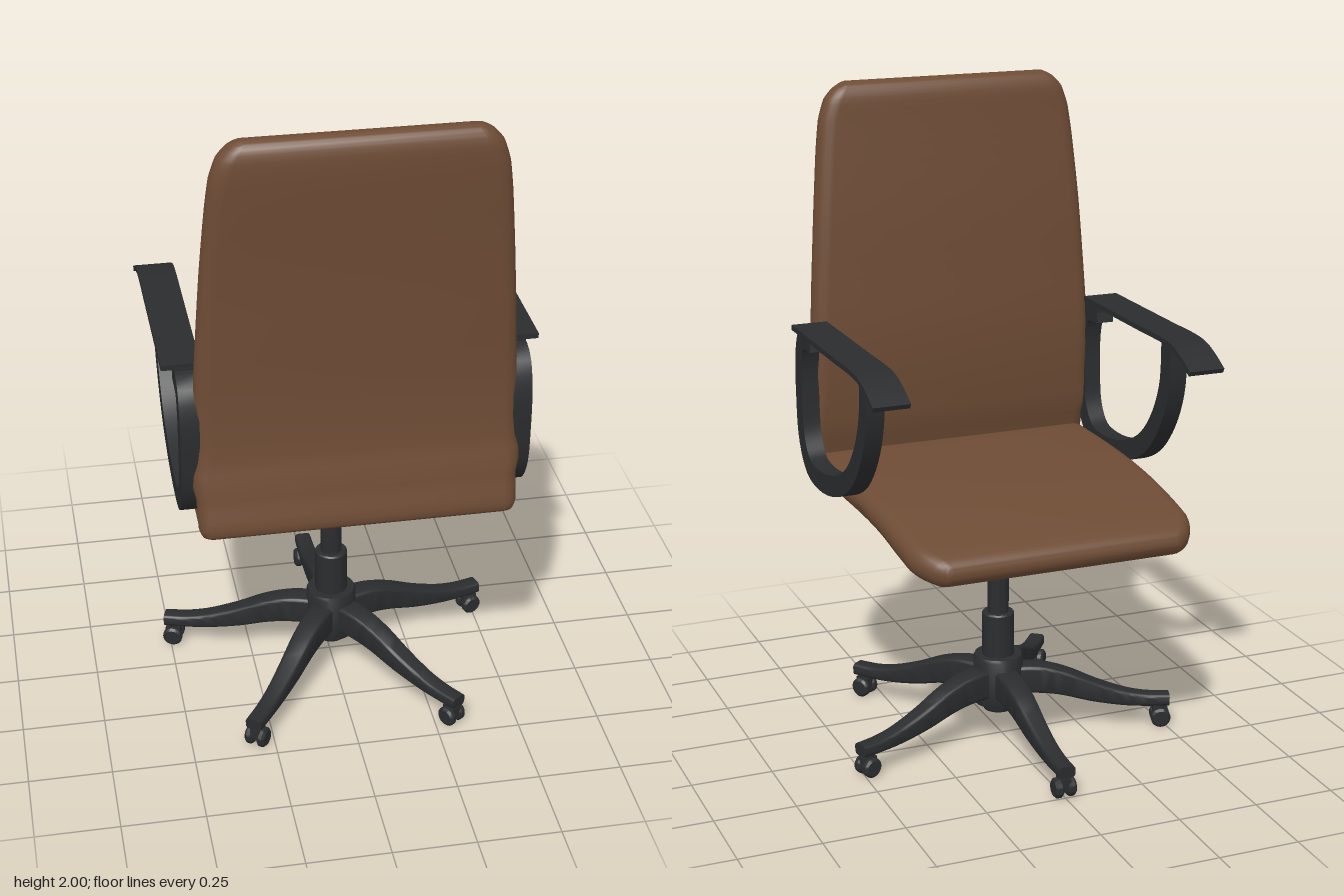
import * as THREE from 'three';
import { toCreasedNormals } from 'three/addons/utils/BufferGeometryUtils.js';

const leather = new THREE.MeshStandardMaterial({ color: 0x6e4c35 });
leather.name = 'brownLeather';
const plastic = new THREE.MeshStandardMaterial({ color: 0x2b2c2e });
plastic.name = 'blackPlastic';

function add(parent, name, geometry, material, x = 0, y = 0, z = 0) {
  const mesh = new THREE.Mesh(geometry, material);
  mesh.name = name;
  mesh.position.set(x, y, z);
  parent.add(mesh);
  return mesh;
}

// Rounded-rectangle sections swept in the YZ plane.
// Each row is [z, y, half width, half thickness].
function loft(rows, radius, steps, crease) {
  const path = new THREE.CatmullRomCurve3(rows.map(r => new THREE.Vector3(0, r[1], r[0])));
  const size = new THREE.CatmullRomCurve3(rows.map(r => new THREE.Vector3(r[2], r[3], 0)));
  const n = (rows.length - 1) * steps, k = 5, ring = 4 * (k + 1);
  const pos = [], index = [];
  for (let i = 0; i <= n; i++) {
    const c = path.getPoint(i / n), s = size.getPoint(i / n);
    const t = path.getTangent(i / n);
    const r = Math.min(radius, s.x, s.y);
    for (let q = 0; q < 4; q++) for (let j = 0; j <= k; j++) {
      const a = (q + j / k) * Math.PI / 2;
      const sx = q === 0 || q === 3 ? 1 : -1, sv = q < 2 ? 1 : -1;
      const u = sx * (s.x - r) + r * Math.cos(a);
      const v = sv * (s.y - r) + r * Math.sin(a);
      pos.push(u, c.y + v * t.z, c.z - v * t.y);
    }
  }
  for (let i = 0; i < n; i++) for (let j = 0; j < ring; j++) {
    const a = i * ring + j, b = i * ring + (j + 1) % ring;
    index.push(a, b, b + ring, a, b + ring, a + ring);
  }
  for (let j = 1; j < ring - 1; j++) {
    const e = n * ring;
    index.push(0, j + 1, j, e, e + j, e + j + 1);
  }
  const g = new THREE.BufferGeometry();
  g.setAttribute('position', new THREE.Float32BufferAttribute(pos, 3));
  g.setIndex(index);
  g.computeVertexNormals();
  return toCreasedNormals(g, crease);
}

// Flat band of constant width following a curve in the (z, y) plane
function band(points, half, width) {
  const curve = new THREE.CatmullRomCurve3(points.map(p => new THREE.Vector3(p[0], p[1], 0)));
  const n = 48, outer = [], inner = [];
  for (let i = 0; i <= n; i++) {
    const p = curve.getPoint(i / n), t = curve.getTangent(i / n);
    outer.push(new THREE.Vector2(p.x - t.y * half, p.y + t.x * half));
    inner.unshift(new THREE.Vector2(p.x + t.y * half, p.y - t.x * half));
  }
  const g = new THREE.ExtrudeGeometry(new THREE.Shape([...outer, ...inner]), { depth: width, bevelEnabled: false });
  g.translate(0, 0, -width / 2);
  g.rotateY(-Math.PI / 2); // shape x becomes z
  return toCreasedNormals(g, 0.6);
}

function lathe(profile) {
  return toCreasedNormals(new THREE.LatheGeometry(profile.map(p => new THREE.Vector2(p[0], p[1])), 28), 0.6);
}

export function createModel() {
  const chair = new THREE.Group();
  chair.name = 'officeChair';
  const cz = 0.028; // column axis

  // Cushions
  add(chair, 'seat', loft([
    [0.437, 0.811, 0.43, 0.012], [0.43, 0.811, 0.448, 0.03], [0.405, 0.811, 0.46, 0.042],
    [0.2, 0.811, 0.46, 0.043], [0, 0.809, 0.455, 0.044], [-0.15, 0.799, 0.45, 0.046],
    [-0.28, 0.78, 0.447, 0.047], [-0.38, 0.763, 0.442, 0.047], [-0.43, 0.754, 0.425, 0.046],
    [-0.47, 0.745, 0.4, 0.041], [-0.49, 0.74, 0.375, 0.028], [-0.498, 0.738, 0.36, 0.012],
  ], 0.045, 3, 0.9), leather);
  add(chair, 'backrest', loft([
    [0.475, 0.78, 0.435, 0.014], [0.473, 0.788, 0.452, 0.032], [0.468, 0.815, 0.463, 0.042],
    [0.448, 0.9, 0.465, 0.044], [0.428, 1.02, 0.465, 0.044], [0.42, 1.2, 0.463, 0.045],
    [0.428, 1.4, 0.452, 0.045], [0.438, 1.6, 0.438, 0.045], [0.454, 1.8, 0.42, 0.045],
    [0.461, 1.89, 0.408, 0.045], [0.464, 1.95, 0.388, 0.044], [0.466, 1.98, 0.362, 0.036],
    [0.467, 1.994, 0.34, 0.024], [0.467, 2, 0.325, 0.01],
  ], 0.045, 3, 0.9), leather);

  // Armrests, mirrored
  const loop = band([
    [-0.196, 1.278], [-0.188, 1.133], [-0.14, 1.02], [-0.05, 0.918], [0.077, 0.854], [0.236, 0.825],
    [0.347, 0.841], [0.406, 0.915], [0.422, 1.043], [0.419, 1.16], [0.39, 1.228], [0.3, 1.244],
  ], 0.032, 0.055);
  const pad = band([
    [0.357, 1.281], [0.15, 1.281], [-0.05, 1.281], [-0.22, 1.281], [-0.28, 1.273], [-0.34, 1.25], [-0.39, 1.224],
  ], 0.008, 0.112);
  for (const [side, label] of [[1, 'left'], [-1, 'right']]) {
    add(chair, label + 'ArmLoop', loop, plastic, side * 0.477);
    add(chair, label + 'ArmPad', pad, plastic, side * 0.486);
    add(chair, label + 'ArmBracket', new THREE.BoxGeometry(0.055, 0.065, 0.06), plastic, side * 0.477, 1.244, 0.33);
  }

  // Chamfered plate under the seat
  const w = 0.155, d = 0.135, c = 0.05;
  const plate = new THREE.Shape([[-w, -d + c], [-w + c, -d], [w - c, -d], [w, -d + c],
    [w, d - c], [w - c, d], [-w + c, d], [-w, d - c]].map(p => new THREE.Vector2(p[0], p[1])));
  const plateGeo = new THREE.ExtrudeGeometry(plate, {
    depth: 0.05, bevelThickness: 0.01, bevelSize: 0.012, bevelOffset: -0.012, bevelSegments: 1,
  });
  plateGeo.rotateX(-Math.PI / 2);
  add(chair, 'seatPlate', plateGeo, plastic, 0, 0.725, 0.005);

  // Height lever
  const rod = new THREE.LineCurve3(new THREE.Vector3(-0.13, 0.735, cz), new THREE.Vector3(-0.33, 0.677, cz));
  add(chair, 'leverRod', new THREE.TubeGeometry(rod, 1, 0.006, 8), plastic);
  add(chair, 'leverPaddle', new THREE.BoxGeometry(0.08, 0.01, 0.035), plastic, -0.36, 0.675, cz);

  // Gas column and hub
  add(chair, 'column', lathe([
    [0, 0.075], [0.045, 0.075], [0.05, 0.085], [0.05, 0.1], [0.074, 0.1], [0.078, 0.11], [0.078, 0.25],
    [0.073, 0.26], [0.05, 0.26], [0.05, 0.395], [0.046, 0.4], [0.033, 0.4], [0.033, 0.73], [0, 0.73],
  ]), plastic, 0, 0, cz);

  // Five legs with twin-wheel casters
  const legGeo = loft([
    [0.03, 0.175, 0.038, 0.046], [0.12, 0.175, 0.036, 0.045], [0.2, 0.16, 0.034, 0.04],
    [0.3, 0.125, 0.031, 0.032], [0.4, 0.099, 0.028, 0.024], [0.47, 0.09, 0.027, 0.02], [0.54, 0.088, 0.026, 0.019],
  ], 0.012, 4, 0.6);
  const wheelGeo = lathe([[0, -0.013], [0.024, -0.013], [0.031, -0.006], [0.031, 0.006], [0.024, 0.013], [0, 0.013]]);
  wheelGeo.rotateZ(Math.PI / 2);
  const stemGeo = new THREE.CylinderGeometry(0.018, 0.018, 0.06, 16);
  const hoodGeo = new THREE.BoxGeometry(0.03, 0.035, 0.045);
  for (let i = 0; i < 5; i++) {
    const leg = new THREE.Group();
    leg.name = 'baseLeg' + (i + 1);
    leg.position.z = cz;
    leg.rotation.y = Math.PI + i * Math.PI * 2 / 5;
    add(leg, 'legBeam', legGeo, plastic);
    add(leg, 'casterStem', stemGeo, plastic, 0, 0.075, 0.513);
    add(leg, 'casterHood', hoodGeo, plastic, 0, 0.045, 0.513);
    for (const s of [-1, 1]) add(leg, 'casterWheel', wheelGeo, plastic, s * 0.02, 0.031, 0.513);
    chair.add(leg);
  }
  return chair;
}
